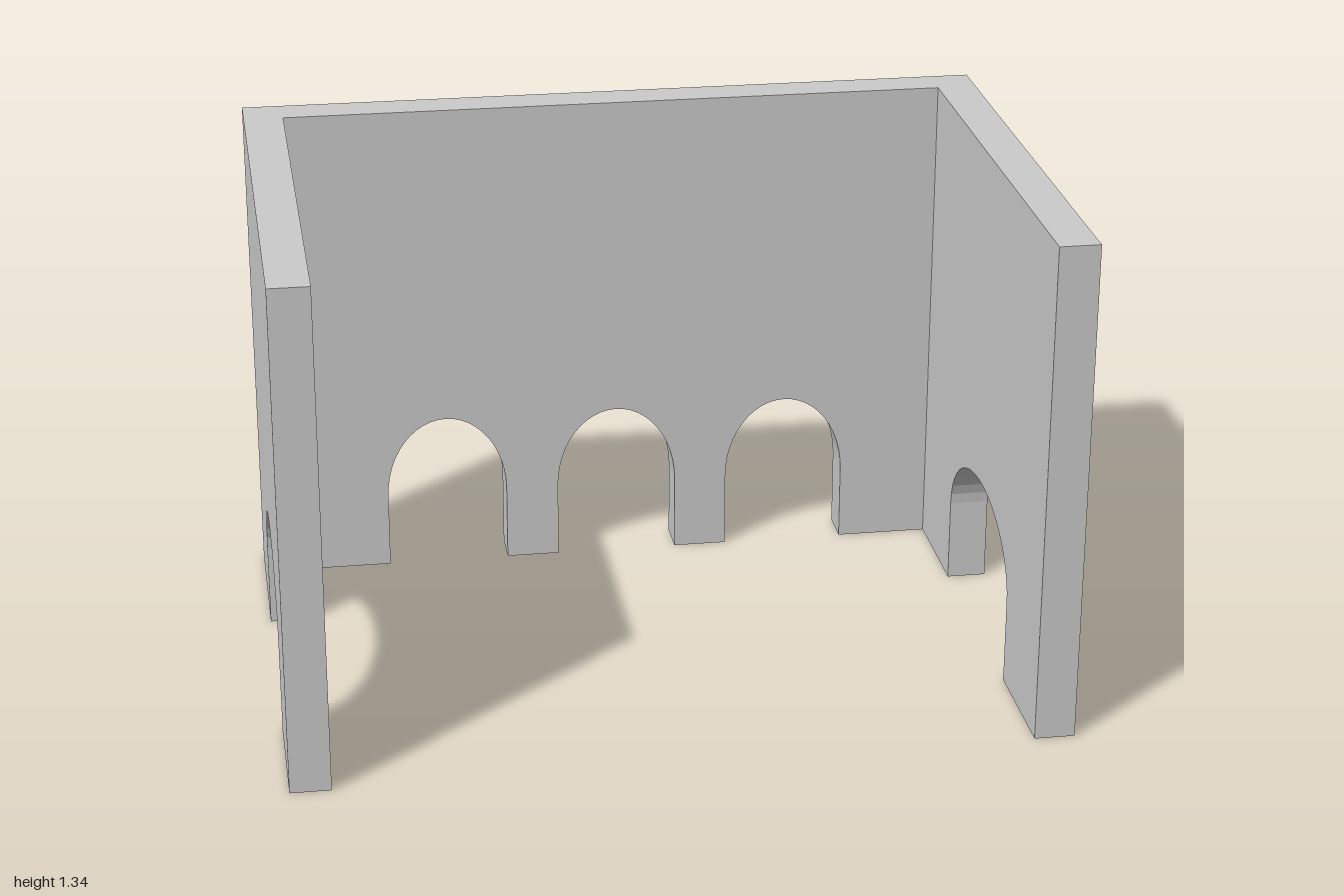
import * as THREE from 'three';

const HEIGHT = 1.335, THICK = 0.105, HALF_X = 1, HALF_Z = 0.692;

// Upright slab from u0 to u1 with arched openings cut into its lower edge
function archedWall(u0, u1, arches) {
  const pts = [new THREE.Vector2(u0, 0)];
  for (const { centre, half, spring, rise, steps } of arches) {
    pts.push(new THREE.Vector2(centre - half, 0));
    for (let i = 0; i <= steps; i++) {
      const a = Math.PI * (1 - i / steps);
      pts.push(new THREE.Vector2(centre + half * Math.cos(a), spring + rise * Math.sin(a)));
    }
    pts.push(new THREE.Vector2(centre + half, 0));
  }
  pts.push(new THREE.Vector2(u1, 0), new THREE.Vector2(u1, HEIGHT), new THREE.Vector2(u0, HEIGHT));
  return new THREE.ExtrudeGeometry(new THREE.Shape(pts), { depth: THICK, bevelEnabled: false });
}

export function createModel() {
  const model = new THREE.Group();
  model.name = 'archedEnclosure';
  const material = new THREE.MeshStandardMaterial({ color: 0xcccccc, flatShading: true });

  const add = (name, geometry, x, z) => {
    const mesh = new THREE.Mesh(geometry, material);
    mesh.name = name;
    mesh.position.set(x, 0, z);
    model.add(mesh);
  };

  // Back wall with three narrow arches
  const backArches = [-0.48, 0, 0.48].map((centre) => (
    { centre, half: 0.167, spring: 0.21, rise: 0.225, steps: 24 }));
  add('backWall', archedWall(-HALF_X, HALF_X, backArches), 0, -HALF_Z);

  // Side walls, each with one wide arch, butting against the back wall
  const sideArch = { centre: 0.048, half: 0.317, spring: 0.225, rise: 0.206, steps: 21 };
  const side = archedWall(-HALF_Z + THICK, HALF_Z, [sideArch]).rotateY(-Math.PI / 2);
  add('leftWall', side, HALF_X, 0);
  add('rightWall', side, -HALF_X + THICK, 0);

  return model;
}
